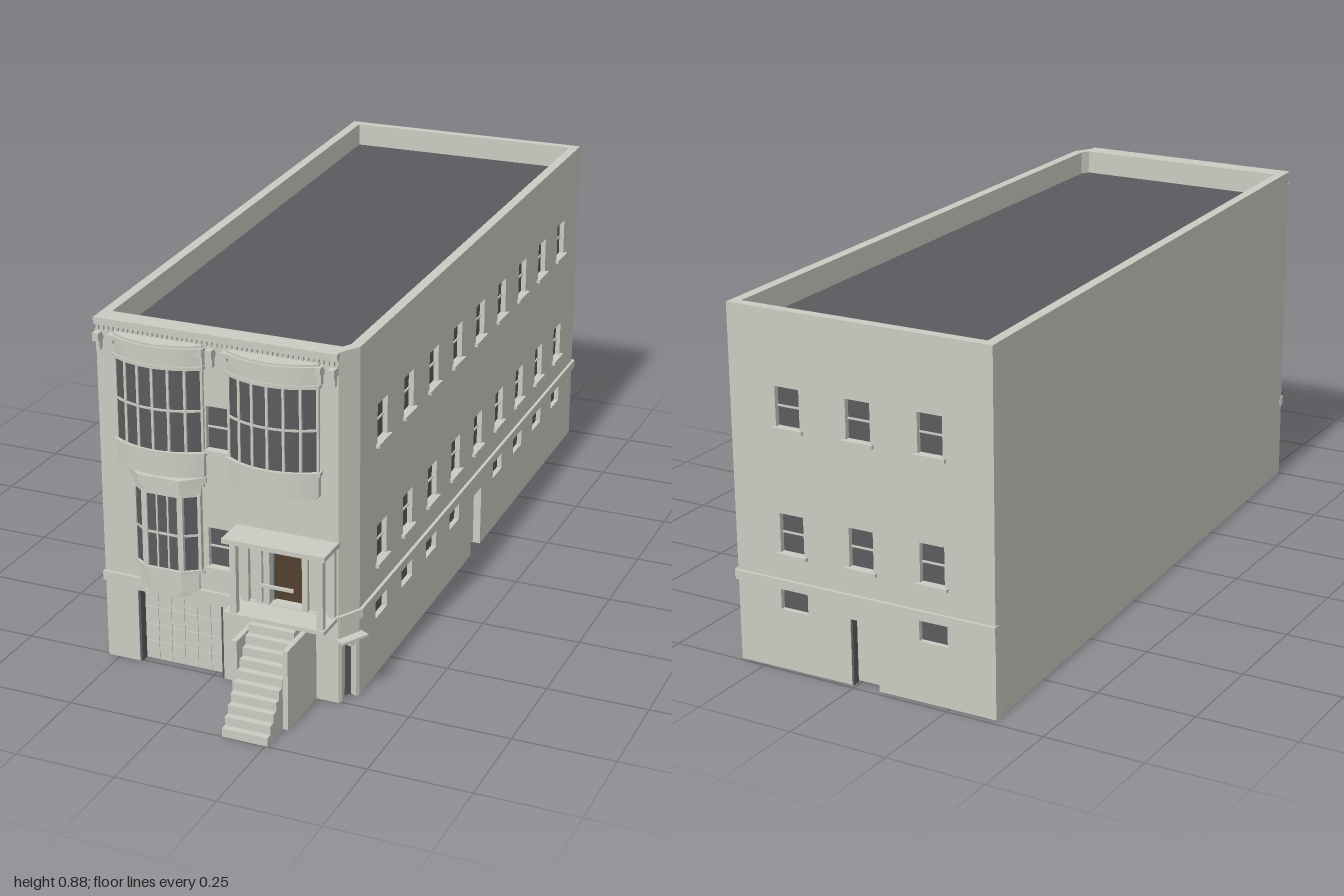
import * as THREE from 'three';

const mat = (name, color) => {
  const m = new THREE.MeshStandardMaterial({ color });
  m.name = name;
  return m;
};

export function createModel() {
  const root = new THREE.Group();
  root.name = 'townhouse';
  const stone = mat('stone', 0xcccbc2);
  const dark = mat('darkGlassAndRoof', 0x5b5b5f);
  const wood = mat('doorWood', 0x524130);
  const H = 0.876, FZ = 0.755;

  const add = (parent, name, geo, m) => {
    const mesh = new THREE.Mesh(geo, m);
    mesh.name = name;
    parent.add(mesh);
    return mesh;
  };
  // Box given by its minimum and maximum on each axis
  const box = (parent, name, x0, x1, y0, y1, z0, z1, m = stone) => {
    const b = add(parent, name, new THREE.BoxGeometry(x1 - x0, y1 - y0, z1 - z0), m);
    b.position.set((x0 + x1) / 2, (y0 + y1) / 2, (z0 + z1) / 2);
    return b;
  };
  // Upright prism over a plan of [x, z] points
  const prism = (parent, name, plan, y0, y1, m = stone) => {
    const shape = new THREE.Shape(plan.map(([x, z]) => new THREE.Vector2(x, -z)));
    const geo = new THREE.ExtrudeGeometry(shape, { depth: y1 - y0, bevelEnabled: false });
    geo.rotateX(-Math.PI / 2).translate(0, y0, 0);
    return add(parent, name, geo, m);
  };

  // Wall from a to b (left to right seen from outside) with window holes and door notches
  const wall = (name, a, b, thick, windows = [], doors = [], course = true) => {
    const g = new THREE.Group();
    g.name = name;
    const dx = b[0] - a[0], dz = b[1] - a[1], L = Math.hypot(dx, dz);
    g.position.set(a[0], 0, a[1]);
    g.rotation.y = Math.atan2(-dz, dx);
    root.add(g);
    const s = new THREE.Shape();
    s.moveTo(0, 0);
    for (const [u0, u1, h] of doors) {
      s.lineTo(u0, 0); s.lineTo(u0, h); s.lineTo(u1, h); s.lineTo(u1, 0);
    }
    s.lineTo(L, 0); s.lineTo(L, H); s.lineTo(0, H); s.closePath();
    for (const [u0, u1, y0, y1] of windows) {
      const p = new THREE.Path();
      p.moveTo(u0, y0); p.lineTo(u0, y1); p.lineTo(u1, y1); p.lineTo(u1, y0); p.closePath();
      s.holes.push(p);
    }
    const geo = new THREE.ExtrudeGeometry(s, { depth: thick, bevelEnabled: false });
    add(g, name + 'Masonry', geo.translate(0, 0, -thick), stone);
    for (const [u0, u1, y0, y1, kind] of windows) {
      if (kind === 'plain') continue;
      box(g, 'windowGlass', u0, u1, y0, y1, -0.018, -0.013, dark);
      if (kind === 'basement') continue;
      const ym = (y0 + y1) / 2;
      box(g, 'meetingRail', u0, u1, ym - 0.002, ym + 0.002, -0.014, -0.009);
      box(g, 'windowSill', u0 - 0.009, u1 + 0.009, y0 - 0.009, y0, -0.012, 0.009);
    }
    if (course) box(g, 'stringCourse', -0.003, L + 0.003, 0.205, 0.228, -0.01, 0.008);
    return g;
  };
  const sash = (u, w = 0.064) => [[u - w / 2, u + w / 2, 0.6, 0.696], [u - w / 2, u + w / 2, 0.294, 0.39]];
  const basement = (u) => [u - 0.037, u + 0.037, 0.15, 0.203, 'basement'];

  // Outline corners
  const FL = [-0.28, FZ], FR = [0.325, FZ], CR = [0.355, 0.7], BR = [0.318, -0.992], BL = [-0.37, -0.982];

  // Right wall: nine bays of windows with a door in the fifth
  const rightWindows = [];
  for (let i = 0; i < 9; i++) {
    const u = 0.14 + i * 0.1738;
    rightWindows.push(...sash(u));
    if (i !== 4) rightWindows.push(basement(u));
  }
  const sideDoor = [0.798, 0.876, 0.165];
  const right = wall('rightWall', CR, BR, 0.025, rightWindows, [sideDoor]);

  // Rear wall: three bays with a central door
  const rearWindows = [0.155, 0.342, 0.528].flatMap((u) => sash(u));
  rearWindows.push(basement(0.155), basement(0.528));
  const rearDoor = [0.307, 0.381, 0.165];
  const rear = wall('rearWall', BR, BL, 0.025, rearWindows, [rearDoor]);
  for (const [g, [u0, u1, h]] of [[right, sideDoor], [rear, rearDoor]]) {
    box(g, 'serviceDoor', u0, u1, 0.005, h, -0.025, -0.02);
    box(g, 'doorReveal', u0, u0 + 0.005, 0, h, -0.02, -0.002, dark);
  }
  wall('leftWall', BL, FL, 0.025, [], [], false);

  // Cut corner with a small entrance and canopy
  const corner = wall('cornerWall', FR, CR, 0.025, [], [[0.01, 0.052, 0.16]]);
  box(corner, 'cornerDoor', 0.01, 0.052, 0, 0.16, -0.024, -0.018, dark);
  box(corner, 'cornerCanopy', -0.006, 0.07, 0.162, 0.168, -0.01, 0.024);
  box(corner, 'canopyBracket', 0.024, 0.038, 0.146, 0.162, 0, 0.014);

  // Front wall, measured from the left corner
  const fx = (x) => x + 0.28;
  wall('frontWall', FL, FR, 0.04, [
    [fx(-0.003), fx(0.053), 0.59, 0.697], [fx(-0.003), fx(0.053), 0.292, 0.392],
    [fx(0.155), fx(0.238), 0.229, 0.4, 'plain'],
  ], [[fx(-0.195), fx(0.03), 0.19]]);
  const front = new THREE.Group();
  front.name = 'frontDetails';
  front.position.z = FZ;
  root.add(front);

  // Garage door with dark reveals
  box(front, 'garageDoor', -0.195, 0.03, 0, 0.19, -0.035, -0.025);
  for (let i = 0; i < 6; i++) for (let j = 0; j < 4; j++) {
    const x = -0.186 + i * 0.0348, y = 0.004 + j * 0.046;
    box(front, 'garagePanel', x, x + 0.0325, y, y + 0.0435, -0.026, -0.023);
  }
  for (const x of [-0.195, 0.024]) box(front, 'garageReveal', x, x + 0.006, 0, 0.19, -0.025, -0.002, dark);

  // Roof deck behind the parapet
  prism(root, 'roofDeck', [[-0.262, 0.72], [0.315, 0.72], [0.335, 0.69], [0.297, -0.972], [-0.35, -0.962]], 0.8, 0.815, dark);

  // Main cornice, dentils and brackets
  box(front, 'corniceCap', -0.28, 0.327, 0.864, H, -0.01, 0.012);
  box(front, 'corniceMould', -0.28, 0.326, 0.857, 0.864, -0.01, 0.008);
  box(front, 'corniceBand', -0.28, 0.325, 0.836, 0.845, -0.01, 0.005);
  for (let x = -0.276; x < 0.32; x += 0.0125) box(front, 'dentil', x, x + 0.0065, 0.845, 0.857, -0.005, 0.007);
  for (const x of [-0.269, -0.232, -0.008, 0.017, 0.055, 0.284, 0.317]) {
    box(front, 'bracketHead', x - 0.008, x + 0.008, 0.822, 0.842, -0.005, 0.024);
    box(front, 'bracketFoot', x - 0.005, x + 0.005, 0.798, 0.822, -0.005, 0.013);
  }

  // Curved upper bays
  const arc = (cx, g, n) => {
    const hw = 0.112 + g, d = 0.033, R = (hw * hw + d * d) / (2 * d), A = Math.asin(hw / R), pts = [];
    for (let i = 0; i <= n; i++) {
      const t = -A + (2 * A * i) / n;
      pts.push([cx + R * Math.sin(t), 0.012 + g + d - R + R * Math.cos(t)]);
    }
    return pts;
  };
  const curved = (cx, g) => [[cx - 0.112 - g, -0.005], ...arc(cx, g, 12), [cx + 0.112 + g, -0.005]];
  for (const cx of [-0.117, 0.17]) {
    const bay = new THREE.Group();
    bay.name = 'curvedBay';
    front.add(bay);
    prism(bay, 'bayGlass', curved(cx, -0.003), 0.583, 0.795, dark);
    const rings = [[0.507, 0.515, -0.025], [0.515, 0.523, -0.007], [0.523, 0.576, 0], [0.576, 0.586, 0.005],
      [0.685, 0.69, 0], [0.788, 0.797, 0.003], [0.797, 0.832, 0], [0.832, 0.842, 0.006], [0.842, 0.847, 0.001]];
    for (const [y0, y1, g] of rings) prism(bay, 'bayBand', curved(cx, g), y0, y1);
    for (const [x, z] of arc(cx, -0.002, 6)) box(bay, 'bayMullion', x - 0.003, x + 0.003, 0.583, 0.795, z - 0.004, z + 0.003);
  }

  // Canted lower bay
  const canted = (g, k = 1) => {
    const half = [[0.086 + g, -0.005], [0.086 + g, 0.006], [0.045 + g * 0.6, 0.034 + g]];
    const right = half.map(([x, z]) => [-0.105 + x * k, z * k]);
    return [...right, ...half.map(([x, z]) => [-0.105 - x * k, z * k]).reverse()];
  };
  const low = new THREE.Group();
  low.name = 'cantedBay';
  front.add(low);
  prism(low, 'bayGlass', canted(-0.002), 0.28, 0.475, dark);
  const bands = [[0.2, 0.21, 0, 0.5], [0.21, 0.22, 0, 0.74], [0.22, 0.272, -0.008], [0.272, 0.282, 0.006],
    [0.368, 0.374, 0], [0.47, 0.495, 0.002], [0.495, 0.505, 0.009], [0.505, 0.52, 0.015]];
  for (const [y0, y1, g, k] of bands) prism(low, 'bayBand', canted(g, k), y0, y1);
  for (const s of [-1, 1]) {
    const pier = (o, w, z0, z1) => box(low, 'bayPost', -0.105 + s * o - w, -0.105 + s * o + w, 0.28, 0.475, z0, z1);
    pier(0.046, 0.007, 0.02, 0.036);
    pier(0.084, 0.004, 0, 0.012);
    pier(0.014, 0.002, 0.028, 0.035);
  }

  // Entrance door
  box(front, 'entranceDoor', 0.155, 0.238, 0.229, 0.39, -0.03, -0.022, wood);
  box(front, 'transomLight', 0.155, 0.238, 0.39, 0.4, -0.03, -0.022, dark);
  box(front, 'doorJamb', 0.155, 0.159, 0.229, 0.4, -0.022, -0.015, dark);
  box(front, 'handrail', 0.14, 0.223, 0.278, 0.285, 0.02, 0.027);

  // Porch
  box(front, 'porchFloor', 0.07, 0.325, 0.216, 0.226, -0.005, 0.082);
  box(front, 'porchRoof', 0.07, 0.327, 0.402, 0.414, -0.005, 0.084);
  for (const [x0, x1] of [[0.087, 0.103], [0.304, 0.32]]) {
    box(front, 'porchPost', x0, x1, 0.226, 0.402, 0.062, 0.078);
    box(front, 'porchPilaster', x0, x1, 0.226, 0.402, -0.005, 0.012);
  }
  for (const x of [0.122, 0.142, 0.238]) box(front, 'doorPilaster', x, x + 0.014, 0.226, 0.402, -0.005, 0.01);

  // Front steps between two cheek walls
  const steps = 10, rise = 0.0216, run = 0.0165;
  for (let i = 0; i < steps; i++) {
    box(root, 'step', 0.142, 0.256, i * rise, (i + 1) * rise, FZ - 0.002, 1 - i * run);
  }
  for (const x of [0.129, 0.256]) box(root, 'stepCheekWall', x, x + 0.013, 0, 0.202, FZ - 0.002, 0.915);

  return root;
}
